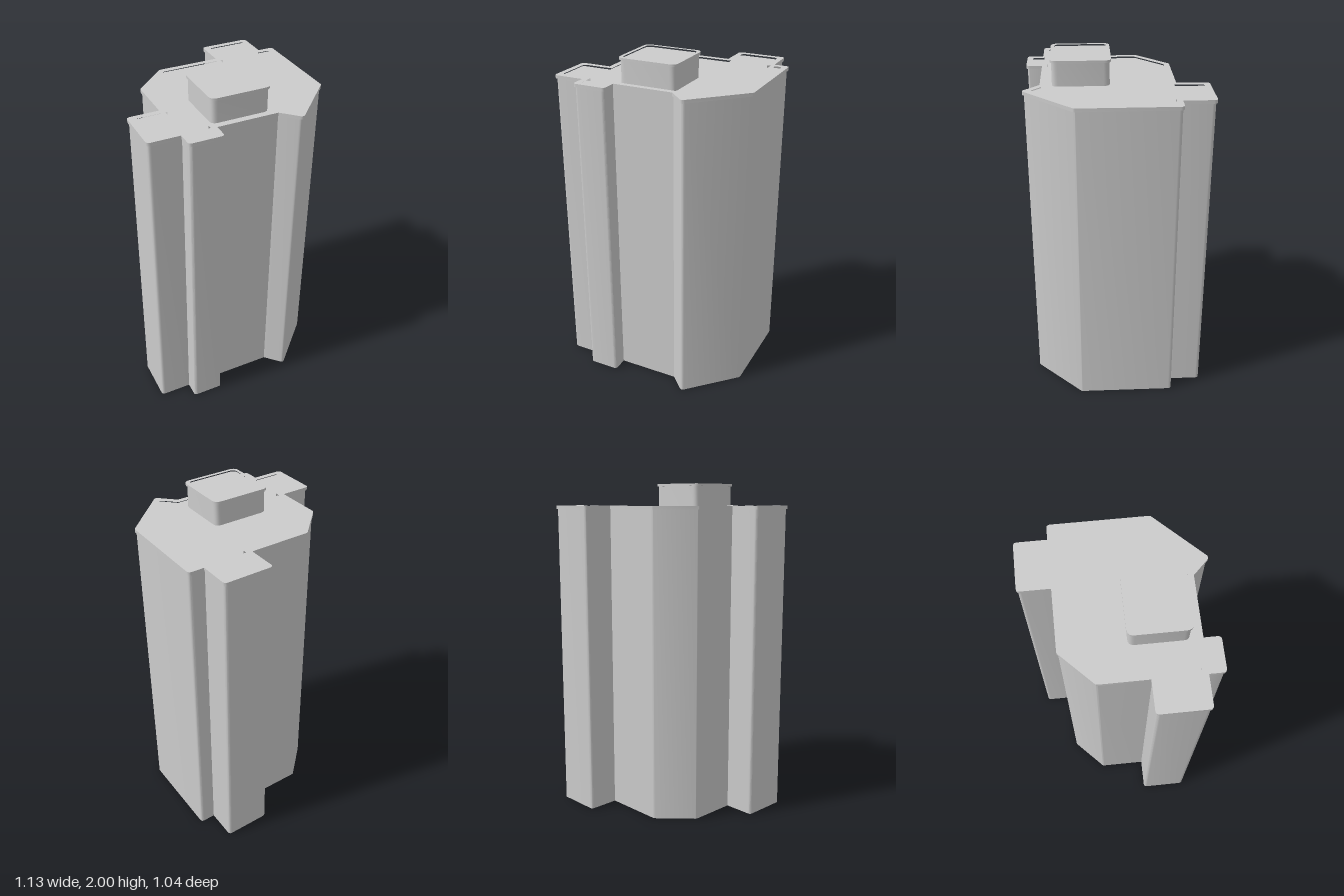
import * as THREE from 'three';
import { toCreasedNormals } from 'three/addons/utils/BufferGeometryUtils.js';

// Tower footprint as [x, z], clockwise seen from above
const FOOTPRINT = [
  [-0.566, 0.13], [-0.38, 0.13], [-0.38, -0.15], [-0.19, -0.335], [0.176, -0.335],
  [0.176, -0.521], [0.471, -0.521], [0.471, -0.335], [0.563, -0.335], [0.563, 0.235],
  [0.277, 0.521], [0.179, 0.423], [-0.18, 0.423], [-0.18, 0.517], [-0.38, 0.517],
  [-0.38, 0.423], [-0.566, 0.423],
];
const SHAFT = [[-0.187, 0.365], [-0.187, 0.025], [0.169, 0.025], [0.169, 0.365]];

// Outline moved inwards by d, with its outer corners rounded by r
function outline(points, d, r, Type = THREE.Shape) {
  const p = points.map(([x, z]) => new THREE.Vector2(x, -z));
  const n = p.length;
  const dirs = p.map((a, i) => p[(i + 1) % n].clone().sub(a).normalize());
  const corners = p.map((a, i) => {
    const u = dirs[(i + n - 1) % n], v = dirs[i];
    const nu = new THREE.Vector2(u.y, -u.x), nv = new THREE.Vector2(v.y, -v.x);
    return a.clone().addScaledVector(nu.clone().add(nv), d / (1 + nu.dot(nv)));
  });
  const shape = new Type();
  corners.forEach((c, i) => {
    const u = dirs[(i + n - 1) % n], v = dirs[i];
    const convex = u.cross(v) < 0;
    const cut = convex ? r * Math.tan(Math.acos(u.dot(v)) / 2) : 0;
    const a = c.clone().addScaledVector(u, -cut), b = c.clone().addScaledVector(v, cut);
    if (i === 0) shape.moveTo(a.x, a.y);
    else shape.lineTo(a.x, a.y);
    if (convex) shape.quadraticCurveTo(c.x, c.y, b.x, b.y);
  });
  shape.closePath();
  return shape;
}

export function createModel() {
  const model = new THREE.Group();
  const material = new THREE.MeshStandardMaterial({ color: 0xcccccc });

  function slab(name, shape, y0, y1) {
    const geometry = new THREE.ExtrudeGeometry(shape, { depth: y1 - y0, bevelEnabled: false, curveSegments: 5 });
    geometry.rotateX(-Math.PI / 2).translate(0, y0, 0);
    const mesh = new THREE.Mesh(toCreasedNormals(geometry, 0.5), material);
    mesh.name = name;
    model.add(mesh);
  }
  function ring(name, points, width, r, rInner, y0, y1) {
    const shape = outline(points, 0, r);
    shape.holes.push(outline(points, width, rInner, THREE.Path));
    slab(name, shape, y0, y1);
  }

  // Main tower with its flat roof and raised edge
  slab('towerBody', outline(FOOTPRINT, 0.007, 0.02), 0, 1.853);
  ring('roofParapet', FOOTPRINT, 0.033, 0.022, 0.025, 1.85, 1.87);

  // Rooftop shaft with its lipped top
  slab('roofShaft', outline(SHAFT, 0.008, 0.035), 1.853, 1.988);
  ring('shaftLip', SHAFT, 0.02, 0.04, 0.03, 1.986, 2);

  return model;
}
